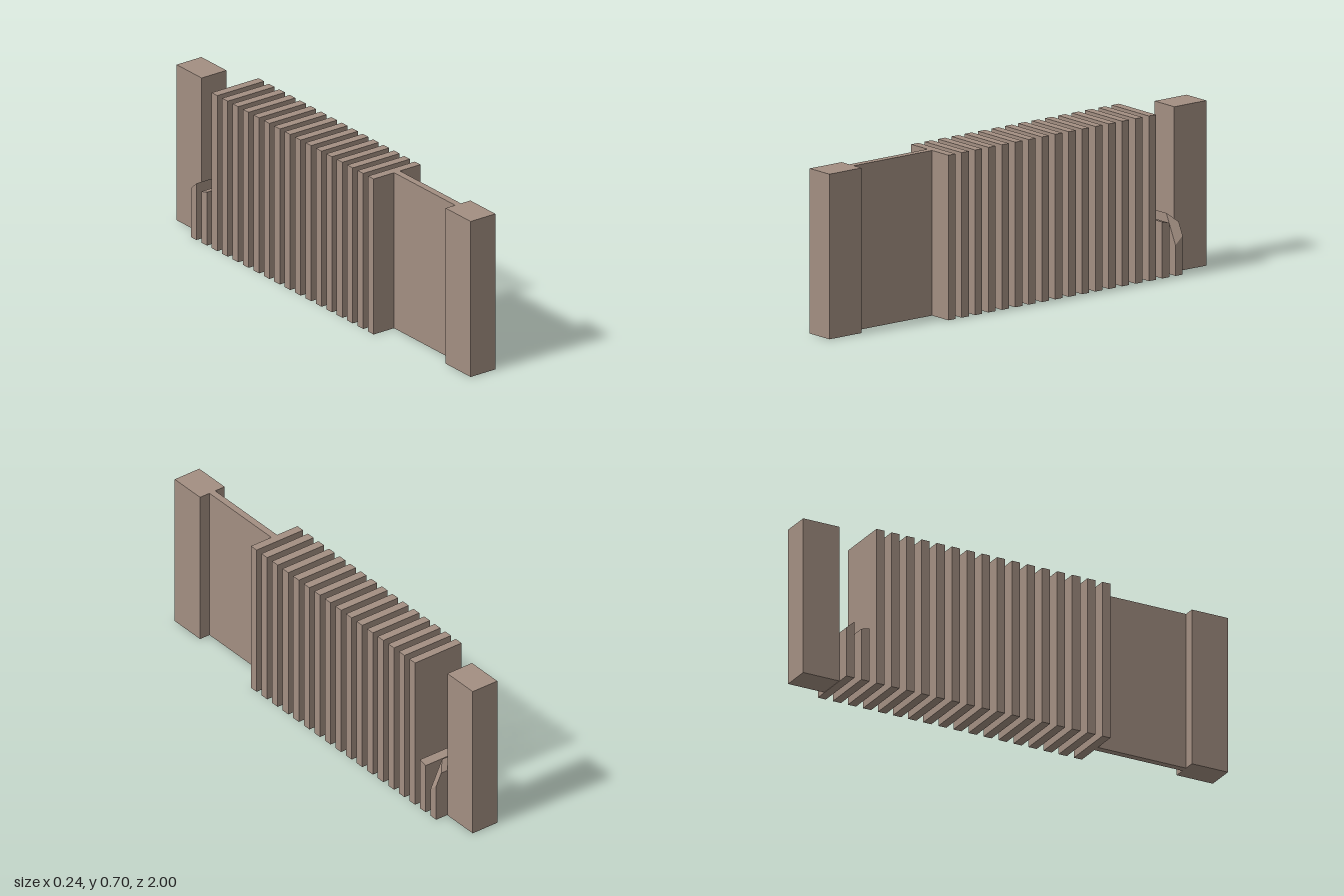
import * as THREE from 'three';
import { ConvexGeometry } from 'three/addons/geometries/ConvexGeometry.js';

const HEIGHT = 0.7;
const POST_W = 0.128, POST_D = 0.17;
const SLAT_W = 0.242, SLAT_D = 0.038, PITCH = 0.0709;
const FIRST_SLAT_Z = 0.396, FULL_SLATS = 16;

export function createModel() {
  const model = new THREE.Group();
  model.name = 'fenceSection';
  const material = new THREE.MeshStandardMaterial({ color: 0xa38f82, flatShading: true });

  const add = (name, geometry, z) => {
    const mesh = new THREE.Mesh(geometry, material);
    mesh.name = name;
    mesh.position.z = z;
    model.add(mesh);
  };
  // Box standing on the ground
  const standingBox = (w, h, d) => new THREE.BoxGeometry(w, h, d).translate(0, h / 2, 0);

  // Solid slab from matching front and back outlines (x, y)
  const brokenSlat = (front, back) => new ConvexGeometry([
    ...front.map(([x, y]) => new THREE.Vector3(x, y, SLAT_D / 2)),
    ...back.map(([x, y]) => new THREE.Vector3(x, y, -SLAT_D / 2)),
  ]);

  // End posts
  add('frontPost', standingBox(POST_W, HEIGHT, POST_D), 1 - POST_D / 2);
  add('backPost', standingBox(POST_W, HEIGHT, POST_D), -1 + POST_D / 2);

  // Thin panel between the front post and the first slat
  const panelFront = 1 - POST_D, panelBack = FIRST_SLAT_Z + SLAT_D / 2;
  add('panel', standingBox(0.03, HEIGHT, panelFront - panelBack), (panelFront + panelBack) / 2);

  // Row of full-height slats
  const slat = standingBox(SLAT_W, HEIGHT, SLAT_D);
  for (let i = 0; i < FULL_SLATS; i++) add(`slat${i + 1}`, slat, FIRST_SLAT_Z - i * PITCH);

  // Two slats broken off near the ground
  const e = SLAT_W / 2;
  add('brokenSlat', brokenSlat(
    [[-e, 0], [e, 0], [e, 0.24], [-e, 0.24]],
    [[-e, 0], [e, 0], [e, 0.23], [-e, 0.23]],
  ), FIRST_SLAT_Z - FULL_SLATS * PITCH);
  add('splinteredSlat', brokenSlat(
    [[-e, 0], [e, 0], [e, 0.13], [0.061, 0.255], [-e, 0.255]],
    [[-e, 0], [e, 0], [e, 0.165], [0.0946, 0.22], [-e, 0.22]],
  ), FIRST_SLAT_Z - (FULL_SLATS + 1) * PITCH);

  return model;
}
